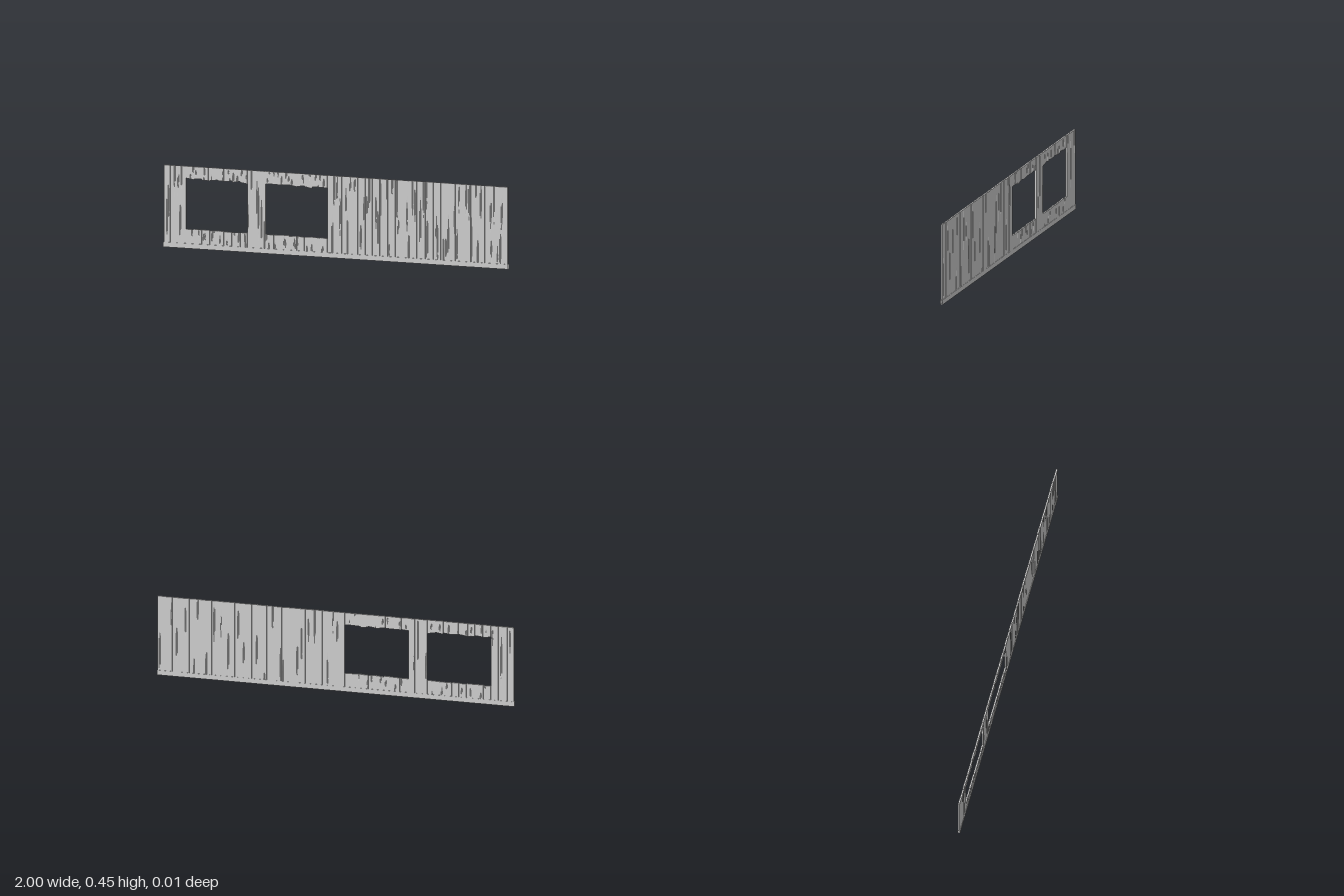
import * as THREE from 'three';

const material = new THREE.MeshStandardMaterial({ color: 0xcccccc, flatShading: true, side: THREE.DoubleSide });

// Small seeded generator, returns -1..1
let seed = 7;
function jitter() {
  seed = (seed * 16807) % 2147483647;
  return (seed / 2147483647) * 2 - 1;
}

// One weathered board: box with uneven ends and tapering cracks along the grain
function plank(x0, x1, y0, y1, name, ragged = {}) {
  const w = x1 - x0 - 0.0014, h = y1 - y0, t = 0.0095;
  const cols = 12, rows = h > 0.2 ? 10 : 4;
  const g = new THREE.BoxGeometry(w, h, t, cols, rows, 1);
  const p = g.attributes.position;
  const topSlope = jitter() * (ragged.top || 0.0006), topShift = jitter() * (ragged.top || 0.0006);
  const lowSlope = jitter() * (ragged.low || 0.0006), lowShift = jitter() * (ragged.low || 0.0006);
  const cracks = [1, 1, -1].map((side) => ({
    side,
    col: 1 + Math.floor((jitter() * 0.5 + 0.499) * (cols - 1)),
    mid: jitter() * 0.5 * h,
    half: h * (0.2 + 0.12 * jitter()),
  }));
  for (let i = 0; i < p.count; i++) {
    const x = p.getX(i), y = p.getY(i), z = p.getZ(i);
    const u = (2 * x) / w, v = y / h + 0.5;
    const col = Math.round((u + 1) * 0.5 * cols);
    let newZ = z;
    for (const c of cracks) {
      const depth = 1 - Math.abs(y - c.mid) / c.half;
      if (c.col === col && c.side * z > 0 && depth > 0) newZ = z - c.side * 0.004 * Math.min(1, depth * 2);
    }
    const end = v * (topShift + topSlope * u) + (1 - v) * (lowShift + lowSlope * u);
    p.setXYZ(i, x, y + end, newZ);
  }
  g.computeVertexNormals();
  const mesh = new THREE.Mesh(g, material);
  mesh.name = name;
  mesh.position.set((x0 + x1) / 2, (y0 + y1) / 2, -0.001 + jitter() * 0.001);
  return mesh;
}

// A run of boards side by side with slightly varied widths
function plankRun(group, x0, x1, count, y0, y1, name, ragged) {
  const pitch = (x1 - x0) / count;
  let left = x0;
  for (let i = 0; i < count; i++) {
    const right = i === count - 1 ? x1 : x0 + (i + 1) * pitch + jitter() * 0.12 * pitch;
    group.add(plank(left, right, y0, y1, name, ragged));
    left = right;
  }
}

// Open-ended rail along the foot of the wall
function bottomRail() {
  const rail = new THREE.Group();
  rail.name = 'bottomRail';
  const h = 0.027, d = 0.014;
  const sides = [
    ['railFront', h, h / 2, d / 2, 0],
    ['railBack', h, h / 2, -d / 2, Math.PI],
    ['railTop', d, h, 0, -Math.PI / 2],
    ['railUnderside', d, 0, 0, Math.PI / 2],
  ];
  for (const [name, size, y, z, turn] of sides) {
    const m = new THREE.Mesh(new THREE.PlaneGeometry(2, size), material);
    m.name = name;
    m.position.set(0, y, z);
    m.rotation.x = turn;
    rail.add(m);
  }
  return rail;
}

export function createModel() {
  seed = 7;
  const model = new THREE.Group();
  model.name = 'plankWall';
  model.add(bottomRail());

  const base = 0.026, top = 0.449;

  // Full-height boards
  const boards = new THREE.Group();
  boards.name = 'fullPlanks';
  for (const [x0, x1, n] of [[-0.998, -0.868, 3], [-0.513, -0.407, 3], [-0.05, 0.998, 24]]) {
    plankRun(boards, x0, x1, n, base, top, 'fullPlank');
  }
  model.add(boards);

  // Short boards above and below the two window openings
  const shorts = new THREE.Group();
  shorts.name = 'windowPlanks';
  for (const [x0, x1] of [[-0.868, -0.513], [-0.407, -0.05]]) {
    plankRun(shorts, x0, x1, 8, base, 0.105, 'sillPlank', { top: 0.002 });
    plankRun(shorts, x0, x1, 8, 0.379, top, 'headerPlank', { low: 0.004 });
  }
  model.add(shorts);
  return model;
}
